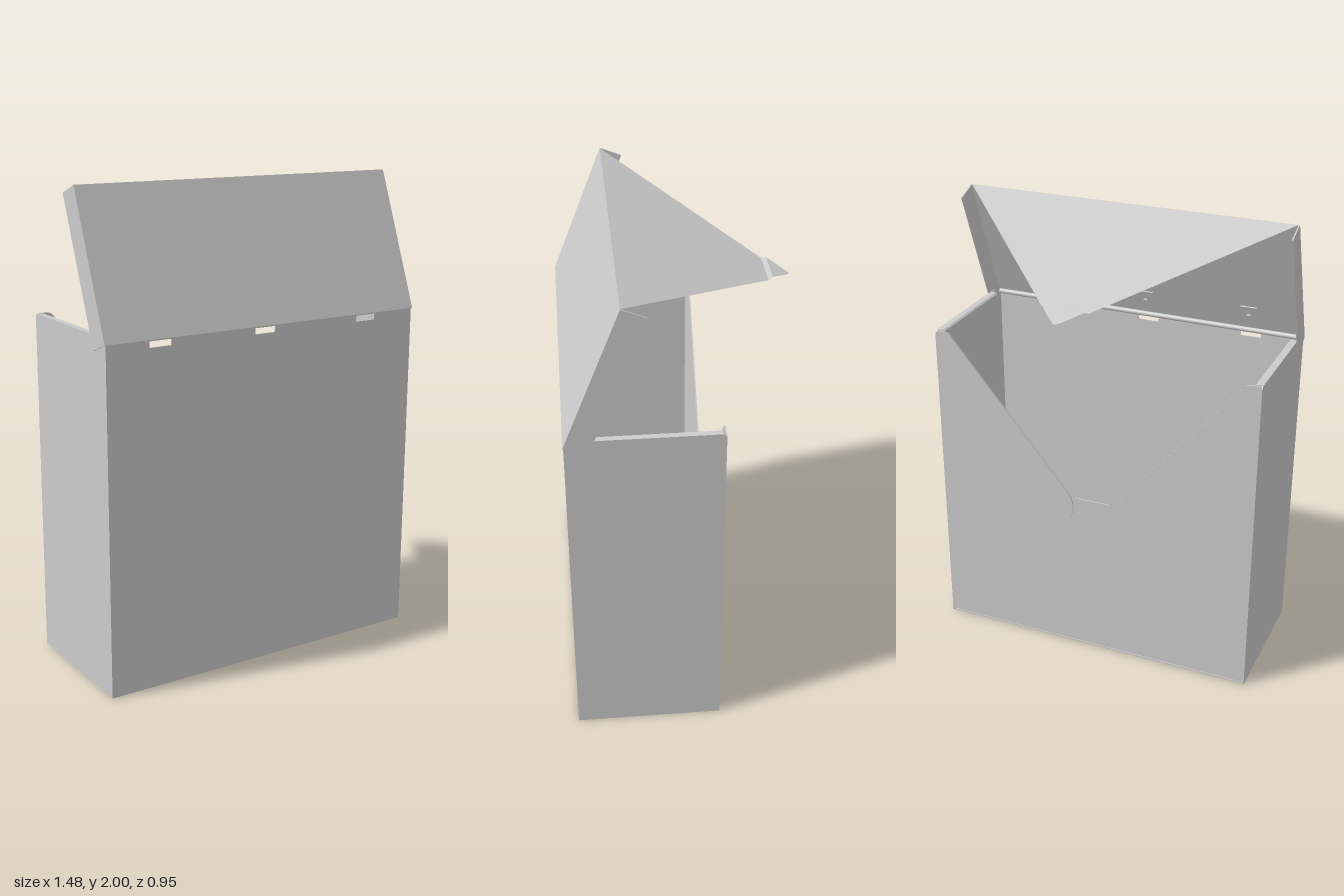
import * as THREE from 'three';

const W = 0.735;            // half width of the box
const FRONT = 0.472, BACK = -0.137, TOP = 1.455;
const T = 0.006;            // sheet thickness
const SLOTS = [-0.5, -0.02, 0.487];

const mat = new THREE.MeshStandardMaterial({ color: 0xcccccc, side: THREE.DoubleSide });

function add(parent, name, geometry, x = 0, y = 0, z = 0) {
  const m = new THREE.Mesh(geometry, mat);
  m.name = name;
  m.position.set(x, y, z);
  parent.add(m);
  return m;
}

const box = (w, h, d) => new THREE.BoxGeometry(w, h, d);

// Thin sheet cut from an outline, thickness along +z
const sheet = (shape, depth = T) =>
  new THREE.ExtrudeGeometry(shape, { depth, bevelEnabled: false, curveSegments: 10 });

const polygon = (pts) => new THREE.Shape(pts.map(([x, y]) => new THREE.Vector2(x, y)));

function buildBody() {
  const body = new THREE.Group();
  body.name = 'body';
  const depth = FRONT - BACK, midZ = (FRONT + BACK) / 2;

  add(body, 'floor', box(2 * W, T, depth - 0.004), 0, T / 2, midZ);

  // Front panel with hinge slots just under its top edge
  const front = polygon([[-W, 0], [W, 0], [W, 1.432], [-W, 1.432]]);
  for (const x of SLOTS) {
    front.holes.push(polygon([[x - 0.048, 1.4], [x - 0.048, 1.425], [x + 0.048, 1.425], [x + 0.048, 1.4]]));
  }
  add(body, 'frontPanel', sheet(front), 0, 0, FRONT - T);

  // Side walls, each with a folded hem on top
  const hem = polygon([[0, -0.01], [0, 0], [0.026, 0], [0.034, -0.006], [0.034, -0.035],
    [0.028, -0.035], [0.028, -0.008], [0.024, -0.006], [0.006, -0.006], [0.006, -0.01]]);
  for (const s of [-1, 1]) {
    const side = polygon([[BACK, 0], [FRONT, 0], [FRONT, 1.43], [FRONT - 0.06, TOP],
      [BACK + 0.012, TOP], [BACK, TOP - 0.012]]);
    const wall = add(body, 'sideWall', sheet(side), s * W - (s > 0 ? T : 0), 0, 0);
    wall.rotation.y = -Math.PI / 2;
    wall.position.x = s > 0 ? W : -W + T;

    const fold = add(body, 'sideHem', sheet(hem, 0.5), s * W, TOP, BACK + 0.015);
    fold.scale.x = -s;
  }

  // Back: lower envelope flap, with two side flaps lapped over it
  const lower = polygon([[-W, 0], [W, 0], [W, 0.06], [0.085, 0.765], [-0.085, 0.765], [-W, 0.06]]);
  add(body, 'lowerBackFlap', sheet(lower), 0, 0, BACK + T);
  for (const s of [-1, 1]) {
    const flap = new THREE.Shape();
    flap.moveTo(s * W, 0.02);
    flap.lineTo(s * W, TOP - 0.012);
    flap.lineTo(s * 0.725, TOP);
    flap.lineTo(s * 0.69, TOP);
    flap.quadraticCurveTo(s * 0.67, TOP, s * 0.655, TOP - 0.022);
    flap.lineTo(s * 0.115, 0.79);
    flap.quadraticCurveTo(s * 0.06, 0.715, s * 0.125, 0.635);
    flap.lineTo(s * (W - 0.01), 0.02);
    add(body, 'sideBackFlap', sheet(flap), 0, 0, BACK);
  }
  return body;
}

// Pointed flap: cross-sections of [distance from fold, half width, height]
function pointedFlap() {
  const rows = [[0, W, 0], [0.675, 0.1, 0], [0.69, 0.088, 0.014], [0.735, 0.047, 0.014], [0.768, 0.014, 0.014], [0.778, 0, 0.014]];
  const pos = [], idx = [];
  for (const [d, w, h] of rows) pos.push(-w, h, -d, w, h, -d);
  for (let i = 0; i < rows.length - 1; i++) {
    const a = 2 * i;
    idx.push(a, a + 1, a + 2, a + 1, a + 3, a + 2);
  }
  const indexed = new THREE.BufferGeometry();
  indexed.setAttribute('position', new THREE.Float32BufferAttribute(pos, 3));
  indexed.setIndex(idx);
  const flat = indexed.toNonIndexed();
  flat.computeVertexNormals();
  return flat;
}

function buildLid() {
  const lid = new THREE.Group();
  lid.name = 'lid';
  const H = 0.613, LW = 0.74;

  add(lid, 'lidPanel', box(2 * LW, H, T), 0, H / 2, -T / 2);
  add(lid, 'lidFlap', pointedFlap(), 0, H, 0);
  for (const s of [-1, 1]) {
    add(lid, 'lidSide', box(T, H, 0.1), s * (LW - T / 2), H / 2, -0.05);
  }

  // Hinge straps riveted inside the panel
  for (const x of SLOTS) {
    add(lid, 'hingeStrap', box(0.075, 0.13, 0.006), x, 0.075, -0.01);
    const rivet = add(lid, 'rivet', new THREE.CylinderGeometry(0.01, 0.012, 0.008, 16), x, 0.09, -0.016);
    rivet.rotation.x = -Math.PI / 2;
  }

  lid.position.set(0, 1.43, 0.475);
  lid.rotation.x = -0.376;
  return lid;
}

export function createModel() {
  const model = new THREE.Group();
  model.name = 'envelopeMailbox';
  model.add(buildBody(), buildLid());

  // Hinge rod along the top of the front panel
  const rod = add(model, 'hingeRod', new THREE.CylinderGeometry(0.011, 0.011, 2 * W - 0.02, 16), 0, 1.437, 0.452);
  rod.rotation.z = Math.PI / 2;
  return model;
}
